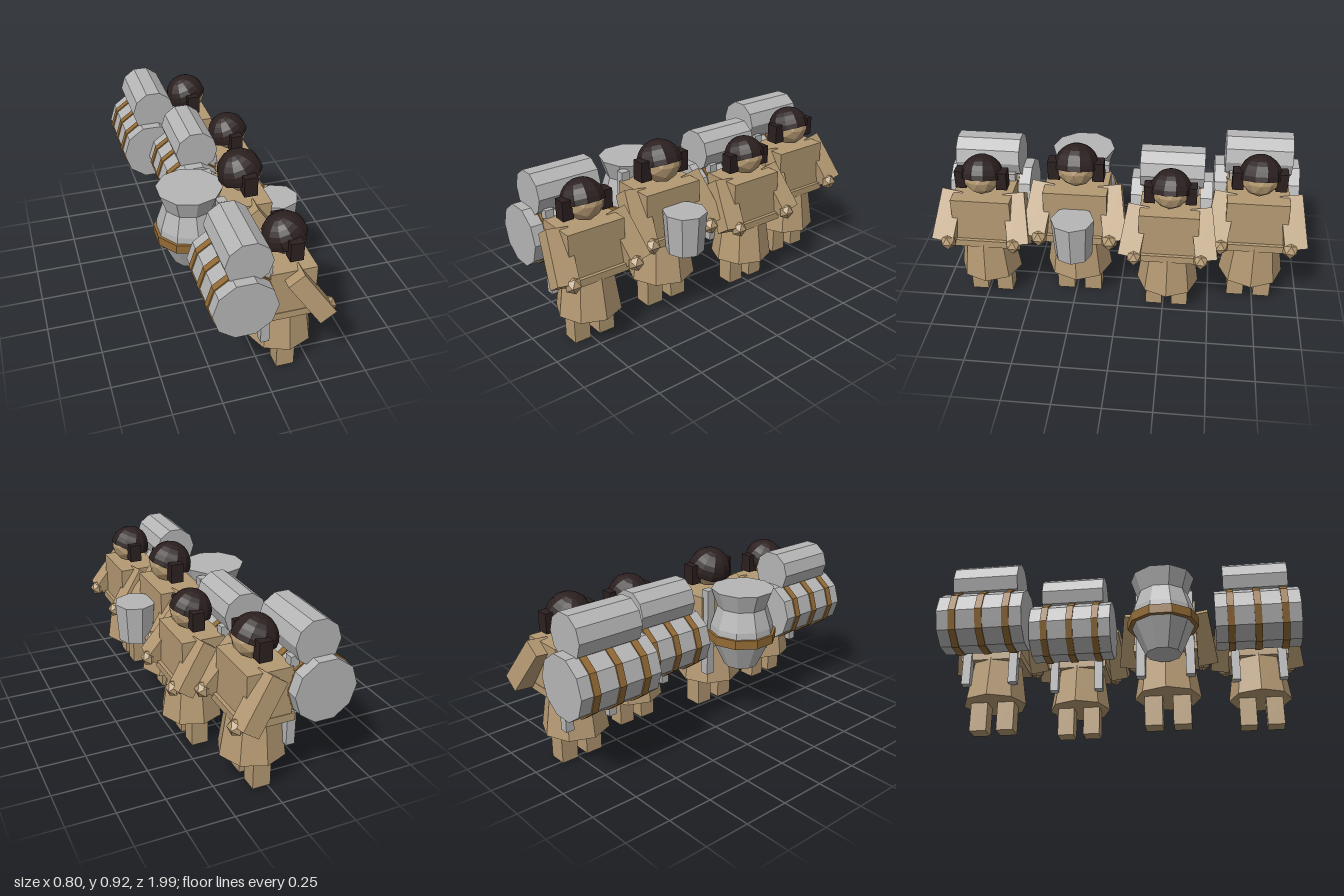
import * as THREE from 'three';

const mat = (name, color, flat = true) => {
  const m = new THREE.MeshStandardMaterial({ color, flatShading: flat });
  m.name = name;
  return m;
};

export function createModel() {
  const root = new THREE.Group();
  const tan = mat('tan cloth and skin', 0xb59a73);
  const grey = mat('grey metal', 0xb6b6b6);
  const brown = mat('brown strap', 0x926a35);
  const dark = mat('dark hair', 0x2c2020);
  const hairMat = mat('dark hair cap', 0x2c2020);
  hairMat.side = THREE.DoubleSide;

  const add = (parent, name, geo, material, x, y, z) => {
    const m = new THREE.Mesh(geo, material);
    m.name = name;
    m.position.set(x, y, z);
    parent.add(m);
    return m;
  };
  const box = (w, h, d) => new THREE.BoxGeometry(w, h, d);

  // Drum lying along z, with a corner on each side
  const drum = (r, len) => new THREE.CylinderGeometry(r, r, len, 10)
    .rotateY(Math.PI / 2).rotateX(Math.PI / 2);

  // One robed figure facing +x
  function figure(name, x, z, scale) {
    const g = new THREE.Group();
    g.name = name;
    g.position.set(x, 0, z);
    g.scale.setScalar(scale);
    root.add(g);

    add(g, 'skirt', new THREE.CylinderGeometry(0.135, 0.17, 0.23, 8), tan, 0, 0.27, 0);
    add(g, 'belt', box(0.27, 0.04, 0.322), tan, 0, 0.386, 0);
    add(g, 'torso', box(0.232, 0.246, 0.316), tan, 0, 0.525, 0);
    add(g, 'head', new THREE.IcosahedronGeometry(0.1, 1), tan, 0.012, 0.75, 0);

    // Hair cap tilted back so the face stays open
    const hair = add(g, 'hair', new THREE.SphereGeometry(0.112, 11, 7, 0, Math.PI * 2, 0, 1.68),
      hairMat, 0.004, 0.748, 0);
    hair.rotation.z = 0.36;

    for (const s of [1, -1]) {
      add(g, 'leg', box(0.094, 0.17, 0.09), tan, 0, 0.085, s * 0.072);
      add(g, 'sideHair', box(0.066, 0.1, 0.058), dark, 0.016, 0.737, s * 0.109);
      const arm = add(g, 'sleeve', box(0.095, 0.277, 0.115), tan, 0.07, 0.52, s * 0.185);
      arm.rotation.order = 'ZYX';
      arm.rotation.set(-s * 0.15, 0, 0.61);
      add(g, 'hand', new THREE.IcosahedronGeometry(0.045, 0), tan, 0.172, 0.42, s * 0.177);
      add(g, 'carryingPost', box(0.045, 0.465, 0.045), grey, -0.126, 0.458, s * 0.125);
    }
    return g;
  }

  // Large hooped drum with a smaller one on top
  function drumPack(g) {
    add(g, 'largeDrum', drum(0.161, 0.445), grey, -0.253, 0.525, 0);
    add(g, 'smallDrum', drum(0.117, 0.345), grey, -0.226, 0.749, 0);
    for (const z of [-0.14, 0, 0.14]) {
      add(g, 'hoop', drum(0.168, 0.037), brown, -0.253, 0.525, z);
    }
  }

  drumPack(figure('frontFigure', 0.124, 0.73, 1));
  figure('urnCarrier', 0.065, 0.232, 1.07);
  drumPack(figure('thirdFigure', 0.157, -0.27, 0.99));
  drumPack(figure('rearFigure', 0.033, -0.728, 1.035));

  // Urn carried on the back
  const profile = [[0, 0.31], [0.095, 0.31], [0.178, 0.49], [0.172, 0.55],
    [0.137, 0.655], [0.172, 0.755], [0, 0.755]].map(([r, y]) => new THREE.Vector2(r, y));
  const urn = add(root, 'urn', new THREE.LatheGeometry(profile, 10), grey, -0.2, 0, 0.232);
  const band = add(root, 'urnBand', new THREE.CylinderGeometry(0.19, 0.19, 0.05, 10), brown,
    -0.2, 0.49, 0.232);
  urn.rotation.y = band.rotation.y = 0;

  // Bucket held in front
  add(root, 'bucket', new THREE.CylinderGeometry(0.115, 0.1, 0.22, 8), grey, 0.28, 0.49, 0.232);

  return root;
}
